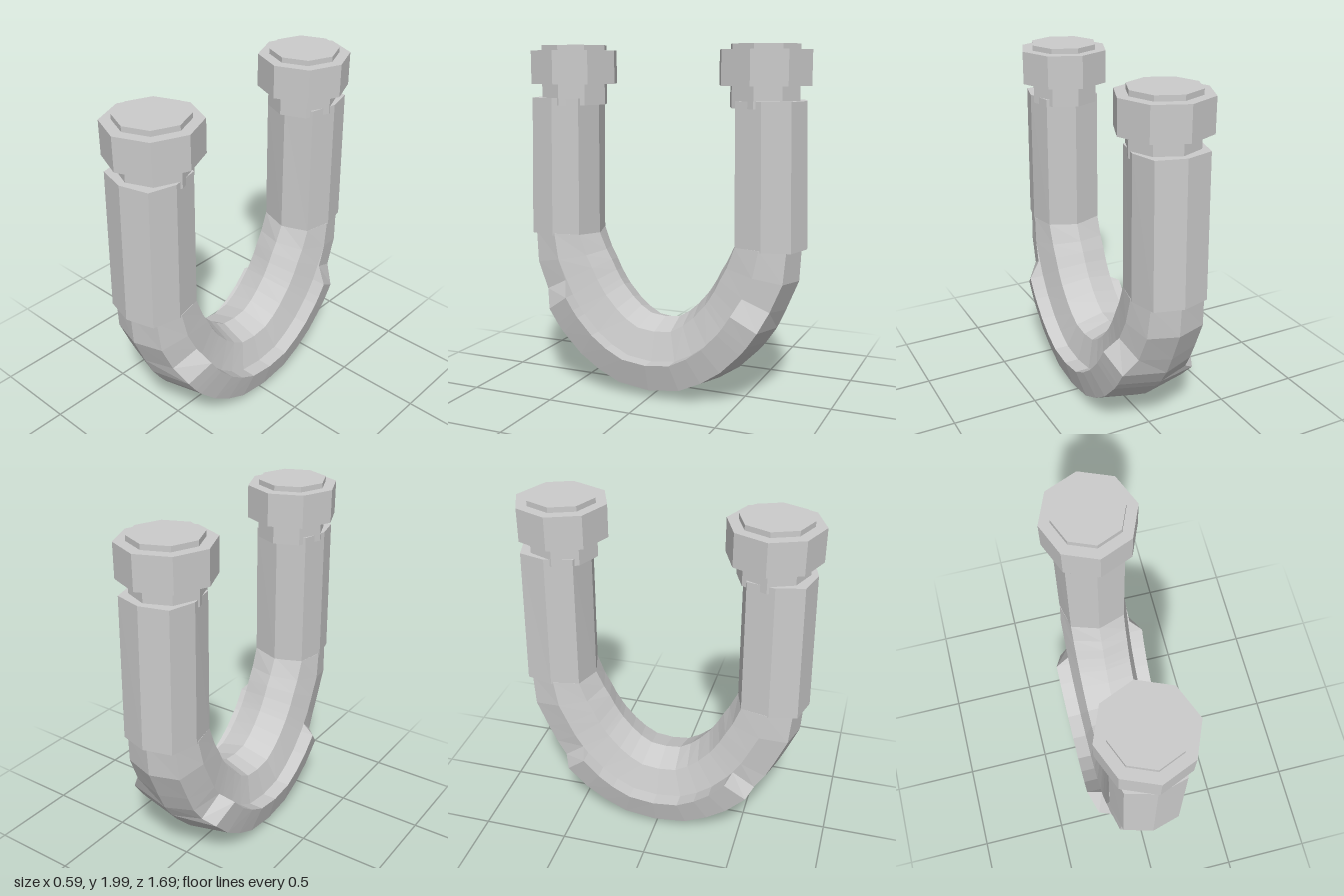
import * as THREE from 'three';

const material = new THREE.MeshStandardMaterial({ color: 0xcccccc, flatShading: true });

// Cross-section from the inner edge to the outer edge of the U.
// wide / low are [+x, -x] half widths of the side ledge and of the outer shoulder.
function section({ outer, inner, wide = [0.2, 0.2], low = [0.16, 0.16] }) {
  const half = (k) => [
    [0.165, 0.12],
    [Math.min(0.21, wide[k]), 0.51],
    [wide[k], 0.51],
    [low[k], 0.89],
  ];
  const right = half(0);
  const left = half(1).map(([x, f]) => [-x, f]).reverse();
  return [[0, 0], ...right, [0, 1], ...left].map(([x, f]) => [
    x,
    inner[1] + (outer[1] - inner[1]) * f,
    inner[0] + (outer[0] - inner[0]) * f,
  ]);
}

// Skin a list of sections and close both ends
function loft(name, stations) {
  const rings = stations.map(section);
  const n = rings[0].length;
  const index = [];
  for (let i = 0; i < rings.length - 1; i++) {
    for (let j = 0; j < n; j++) {
      const a = i * n + j, b = i * n + ((j + 1) % n);
      index.push(a, b, a + n, b, b + n, a + n);
    }
  }
  const last = (rings.length - 1) * n;
  for (let j = 1; j < n - 1; j++) {
    index.push(0, j + 1, j, last, last + j, last + j + 1);
  }
  const indexed = new THREE.BufferGeometry();
  indexed.setAttribute('position', new THREE.Float32BufferAttribute(rings.flat(2), 3));
  indexed.setIndex(index);
  const geometry = indexed.toNonIndexed();
  geometry.computeVertexNormals();
  const mesh = new THREE.Mesh(geometry, material);
  mesh.name = name;
  return mesh;
}

function octagon(name, radius, y0, y1, z) {
  const mesh = new THREE.Mesh(new THREE.CylinderGeometry(radius, radius, y1 - y0, 8), material);
  mesh.position.set(0, (y0 + y1) / 2, z);
  mesh.name = name;
  return mesh;
}

export function createModel() {
  const model = new THREE.Group();
  model.name = 'uPipe';

  // Half of the bend, from the bottom centre up to the front leg; points are [z, y]
  const full = { wide: [0.295, 0.295], low: [0.25, 0.25] };
  const half = [
    { outer: [0, 0.01], inner: [0, 0.43], ...full },
    { outer: [0.2, 0.035], inner: [0.09, 0.44], ...full },
    { outer: [0.34, 0.1], inner: [0.155, 0.48], ...full },
    { outer: [0.46, 0.18], inner: [0.21, 0.53], ...full },
    { outer: [0.58, 0.3], inner: [0.27, 0.6], ...full },
    { outer: [0.62, 0.35], inner: [0.29, 0.63], wide: [0.295, 0.21], low: [0.25, 0.18] },
    { outer: [0.68, 0.44], inner: [0.32, 0.68], wide: [0.295, 0.21], low: [0.25, 0.17] },
    { outer: [0.73, 0.55], inner: [0.35, 0.74], wide: [0.22, 0.21], low: [0.18, 0.17] },
    { outer: [0.8, 0.72], inner: [0.385, 0.8], wide: [0.21, 0.21], low: [0.17, 0.17] },
    { outer: [0.81, 0.91], inner: [0.435, 0.91] },
  ];
  const mirror = (s) => ({
    ...s,
    outer: [-s.outer[0], s.outer[1]],
    inner: [-s.inner[0], s.inner[1]],
  });
  model.add(loft('bend', [...half.slice(1).reverse(), ...half.map(mirror)]));

  // Straight legs, slightly thicker than the end of the bend
  const leg = [
    { outer: [0.82, 1.7], inner: [0.425, 1.7] },
    { outer: [0.84, 0.9], inner: [0.43, 0.9] },
  ];
  model.add(loft('frontLeg', leg));
  model.add(loft('backLeg', leg.map(mirror).reverse()));

  // Neck, collar and end plug on each leg
  for (const [side, s] of [['front', 1], ['back', -1]]) {
    const z = 0.583 * s;
    model.add(octagon(side + 'Neck', 0.197, 1.66, 1.8, z));
    model.add(octagon(side + 'Collar', 0.26, 1.78, 1.97, z));
    model.add(octagon(side + 'Plug', 0.197, 1.95, 2, z));
  }
  return model;
}
